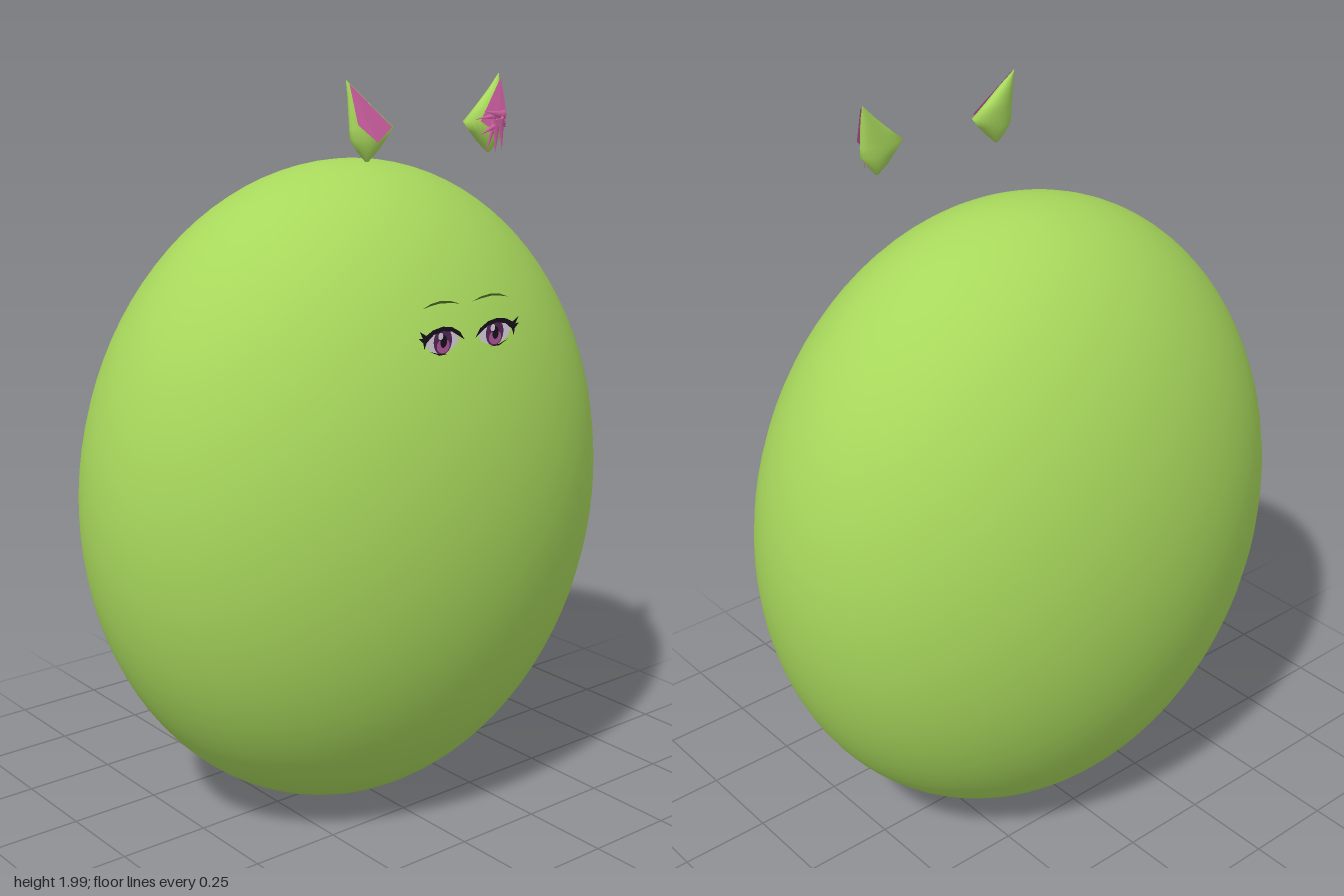
import * as THREE from 'three';

const mat = (name, color, side = THREE.DoubleSide) => {
  const m = new THREE.MeshStandardMaterial({ color, side });
  m.name = name;
  return m;
};

export function createModel() {
  const model = new THREE.Group();
  model.name = 'roundCreature';
  const green = mat('skinGreen', 0xa8d85c, THREE.FrontSide);
  const pink = mat('earPink', 0xcc5fa0);
  const black = mat('lashBlack', 0x17101a);
  const white = mat('eyeWhite', 0xe4dbea);
  const purple = mat('irisPurple', 0x57285a);
  const magenta = mat('irisMagenta', 0xb8589f);
  const browGreen = mat('browGreen', 0x4a6424);

  const add = (parent, name, geometry, material) => {
    const mesh = new THREE.Mesh(geometry, material);
    mesh.name = name;
    parent.add(mesh);
    return mesh;
  };

  // Body: a smooth egg, flattened front to back
  const body = add(model, 'body', new THREE.SphereGeometry(1, 64, 48), green);
  body.scale.set(0.78, 0.885, 0.56);
  body.position.y = 0.89;

  // Ear shell: elliptical sections [y, inner x, outer x, back z, front z]
  const sections = [
    [1.804, 0.197, 0.203, 0.32, 0.328],
    [1.83, 0.168, 0.226, 0.302, 0.343],
    [1.858, 0.14, 0.248, 0.297, 0.348],
    [1.884, 0.117, 0.249, 0.296, 0.346],
    [1.92, 0.162, 0.249, 0.297, 0.337],
    [1.96, 0.208, 0.249, 0.3, 0.326],
    [1.998, 0.248, 0.249, 0.304, 0.306],
  ];
  const earGeometry = (s) => {
    const n = 20, pos = [], idx = [];
    sections.forEach(([y, x0, x1, z0, z1]) => {
      for (let i = 0; i < n; i++) {
        const a = (i / n) * Math.PI * 2;
        pos.push((s * (x0 + x1)) / 2 + ((x1 - x0) / 2) * Math.sin(a), y,
          (z0 + z1) / 2 + ((z1 - z0) / 2) * Math.cos(a));
      }
    });
    for (let r = 0; r < sections.length - 1; r++) {
      for (let i = 0; i < n; i++) {
        const a = r * n + i, b = r * n + ((i + 1) % n);
        idx.push(a, b, b + n, a, b + n, a + n);
      }
    }
    const g = new THREE.BufferGeometry();
    g.setAttribute('position', new THREE.Float32BufferAttribute(pos, 3));
    g.setIndex(idx);
    g.computeVertexNormals();
    return g;
  };

  // Open fan of flat faces, mirrored by s, wound to face the front
  const fan = (points, s) => {
    const pos = [];
    for (let i = 1; i < points.length - 1; i++) {
      const tri = [points[0], points[i], points[i + 1]];
      if (s < 0) tri.reverse();
      tri.forEach(([x, y, z]) => pos.push(s * x, y, z));
    }
    const g = new THREE.BufferGeometry();
    g.setAttribute('position', new THREE.Float32BufferAttribute(pos, 3));
    g.computeVertexNormals();
    return g;
  };

  // Flat plate from an outline of [x, y] points, smoothed when asked
  const plate = (points, s, z, smooth = false) => {
    let pts = points.map(([x, y]) => new THREE.Vector2(s * x, y));
    if (smooth) pts = new THREE.SplineCurve([...pts, pts[0]]).getPoints(40).slice(0, -1);
    return new THREE.ShapeGeometry(new THREE.Shape(pts)).translate(0, 0, z);
  };
  const oval = (x, y, rx, ry, z) =>
    new THREE.CircleGeometry(1, 28).scale(rx, ry, 1).translate(x, y, z);

  for (const s of [1, -1]) {
    const side = s > 0 ? 'left' : 'right';
    const ear = new THREE.Group();
    ear.name = side + 'Ear';
    model.add(ear);
    add(ear, 'earShell', earGeometry(s), green);
    add(ear, 'innerEar', fan([
      [0.247, 1.99, 0.316], [0.145, 1.886, 0.353], [0.197, 1.852, 0.362], [0.243, 1.895, 0.344],
    ], s), pink);

    const eye = new THREE.Group();
    eye.name = side + 'Eye';
    model.add(eye);
    add(eye, 'sclera', plate([
      [0.03, 1.376], [0.055, 1.396], [0.09, 1.405], [0.125, 1.398],
      [0.144, 1.38], [0.125, 1.355], [0.09, 1.346], [0.052, 1.354],
    ], s, 0.479, true), white);
    add(eye, 'iris', oval(s * 0.087, 1.376, 0.03, 0.034, 0.481), purple);
    add(eye, 'irisGlow', oval(s * 0.087, 1.364, 0.021, 0.018, 0.4825), magenta);
    add(eye, 'pupil', oval(s * 0.087, 1.376, 0.011, 0.016, 0.484), black);
    add(eye, 'highlight', oval(s * 0.087 - 0.011, 1.39, 0.008, 0.009, 0.4855), white);
    // Upper lash with two outer flicks, and a thin lower lash
    add(eye, 'upperLash', plate([
      [0.018, 1.372], [0.034, 1.394], [0.06, 1.408], [0.09, 1.413], [0.122, 1.408],
      [0.144, 1.397], [0.165, 1.409], [0.155, 1.391], [0.167, 1.392], [0.153, 1.379],
      [0.15, 1.362], [0.143, 1.379], [0.12, 1.396], [0.09, 1.402], [0.06, 1.397], [0.038, 1.384],
    ], s, 0.4845), black);
    add(eye, 'lowerLash', plate([
      [0.07, 1.343], [0.1, 1.342], [0.133, 1.356], [0.1, 1.346],
    ], s, 0.4845), black);

    // Thin arched eyebrow, floating just before the face
    add(model, side + 'Brow', plate([
      [0.022, 1.46], [0.05, 1.469], [0.085, 1.473], [0.115, 1.469], [0.142, 1.459],
      [0.115, 1.464], [0.085, 1.467], [0.05, 1.464],
    ], s, 0.467), browGreen);
  }

  // Jagged tuft of hair inside the left ear: [base x, y, tip x, y, width]
  const tuft = new THREE.Group();
  tuft.name = 'earTuft';
  model.add(tuft);
  [
    [0.222, 1.9, 0.122, 1.892, 0.024],
    [0.215, 1.885, 0.133, 1.853, 0.026],
    [0.2, 1.9, 0.14, 1.912, 0.018],
    [0.19, 1.888, 0.158, 1.81, 0.024],
    [0.19, 1.888, 0.186, 1.803, 0.026],
    [0.2, 1.89, 0.206, 1.808, 0.022],
    [0.19, 1.885, 0.226, 1.868, 0.026],
  ].forEach(([bx, by, tx, ty, w], i) => {
    const d = new THREE.Vector2(tx - bx, ty - by);
    const spike = new THREE.ConeGeometry(w / 2, d.length(), 4).scale(1, 1, 0.35);
    const m = add(tuft, 'tuftSpike', spike, pink);
    m.position.set((bx + tx) / 2, (by + ty) / 2, 0.36 + (i % 3) * 0.004);
    m.rotation.z = Math.atan2(d.y, d.x) - Math.PI / 2;
  });
  return model;
}
